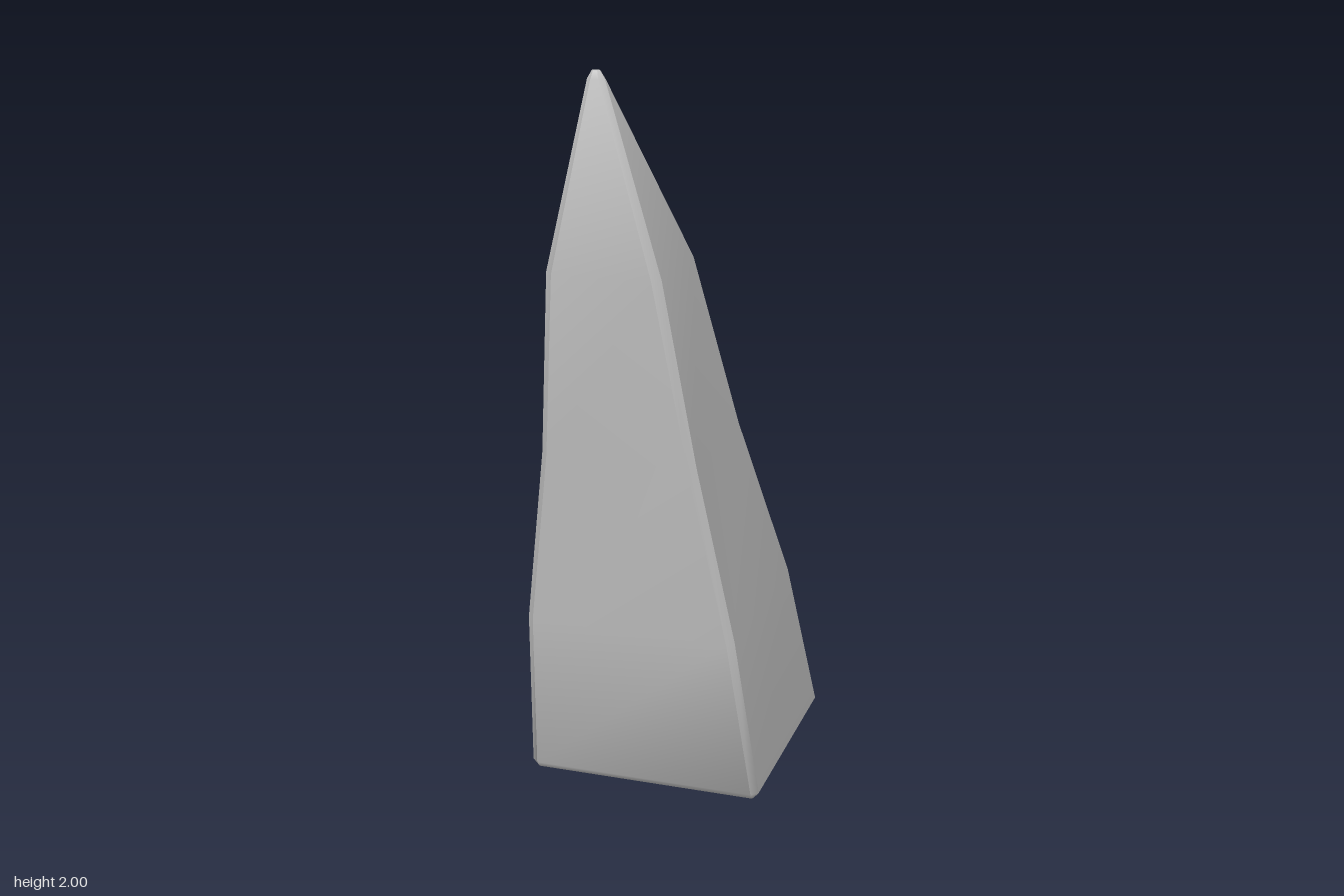
import * as THREE from 'three';
import { toCreasedNormals } from 'three/addons/utils/BufferGeometryUtils.js';

// Cross-sections from base to tip: height, half width, back z, front z, corner bevel
const SECTIONS = [
  [0, 0.31, -0.48, 0.148, 0.005],
  [0.018, 0.325, -0.493, 0.162, 0.018],
  [0.5, 0.285, -0.294, 0.274, 0.018],
  [1.0, 0.205, -0.055, 0.358, 0.018],
  [1.5, 0.147, 0.167, 0.461, 0.02],
  [1.98, 0.022, 0.464, 0.493, 0.012],
  [2.0, 0.01, 0.473, 0.486, 0.005],
];

// Bevelled rectangle as eight corners
function ring([y, w, back, front, c]) {
  return [
    [w, front - c], [w - c, front], [c - w, front], [-w, front - c],
    [-w, back + c], [c - w, back], [w - c, back], [w, back + c],
  ].map(([x, z]) => [x, y, z]);
}

function loft(sections) {
  const rings = sections.map(ring);
  const n = rings[0].length;
  const index = [];
  for (let r = 0; r < rings.length - 1; r++) {
    for (let i = 0; i < n; i++) {
      const a = r * n + i, b = r * n + (i + 1) % n;
      index.push(b, a, a + n, b, a + n, b + n);
    }
  }
  // Base and tip caps
  const top = (rings.length - 1) * n;
  for (let i = 1; i < n - 1; i++) {
    index.push(0, i, i + 1, top, top + i + 1, top + i);
  }
  const geometry = new THREE.BufferGeometry();
  geometry.setAttribute('position', new THREE.Float32BufferAttribute(rings.flat(2), 3));
  geometry.setIndex(index);
  return toCreasedNormals(geometry, Math.PI / 6);
}

export function createModel() {
  const group = new THREE.Group();
  group.name = 'leaningSpike';
  const spike = new THREE.Mesh(loft(SECTIONS), new THREE.MeshStandardMaterial({ color: 0xcccccc }));
  spike.name = 'spike';
  group.add(spike);
  return group;
}
